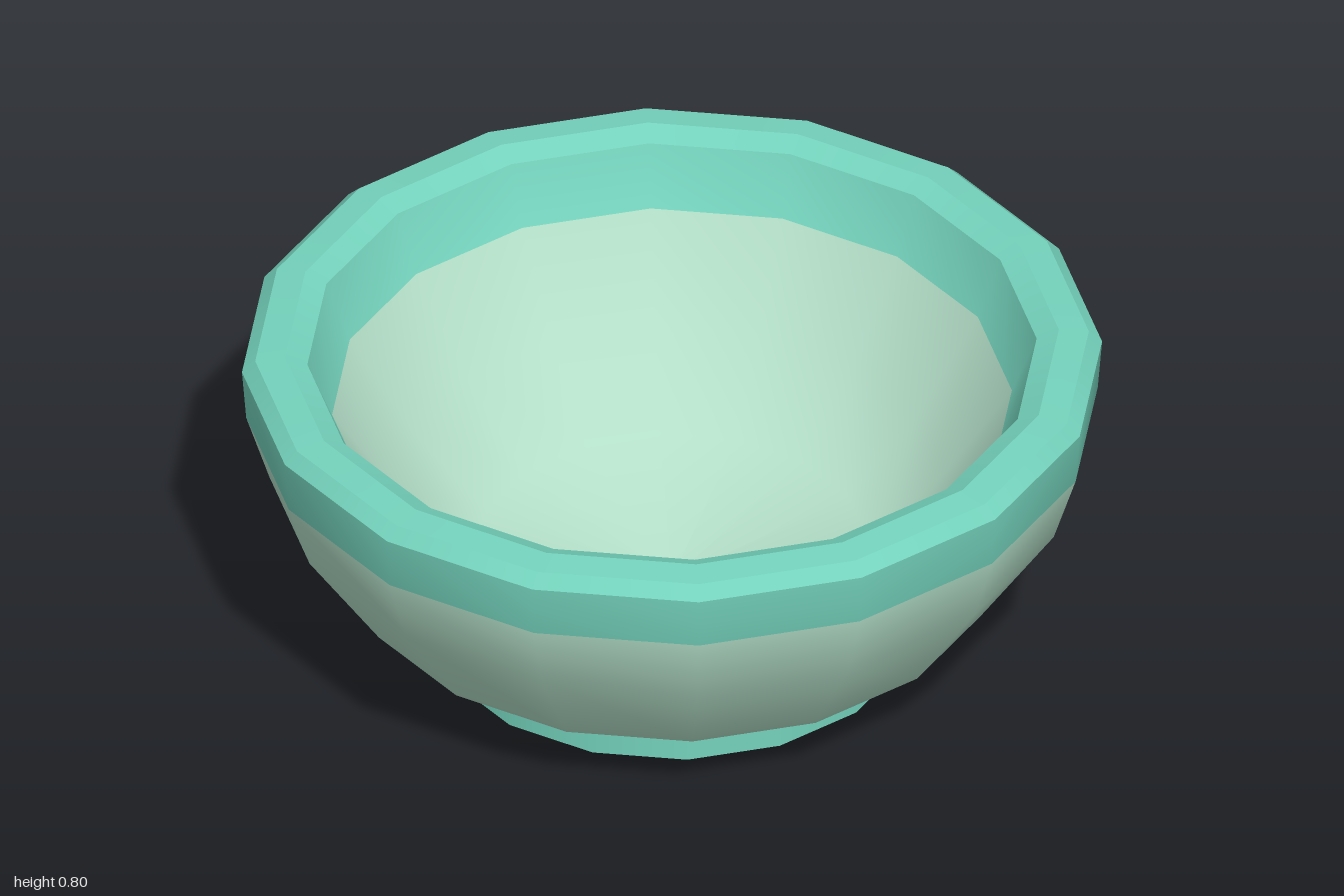
import * as THREE from 'three';

const SIDES = 16;
const TURN = THREE.MathUtils.degToRad(16.2);

export function createModel() {
  const glaze = new THREE.MeshStandardMaterial({ color: 0x74d2bc });
  glaze.name = 'teal glaze';
  const clay = new THREE.MeshStandardMaterial({ color: 0xb4dfc8 });
  clay.name = 'pale green';

  const bowl = new THREE.Group();
  bowl.name = 'bowl';

  // Smooth surface of revolution; bands gives the material of each profile step
  function turned(name, profile, bands) {
    const points = profile.map(([r, y]) => new THREE.Vector2(r, y));
    const geometry = new THREE.LatheGeometry(points, SIDES, TURN);
    const steps = profile.length - 1;
    const materials = [glaze, clay];
    for (let i = 0; i < SIDES; i++) {
      for (let j = 0; j < steps; j++) {
        geometry.addGroup((i * steps + j) * 6, 6, materials.indexOf(bands[j]));
      }
    }
    const mesh = new THREE.Mesh(geometry, materials);
    mesh.name = name;
    bowl.add(mesh);
  }

  // Foot: slightly domed underside and a short ring
  turned('footBase', [[0, 0], [0.573, 0.012]], [glaze]);
  turned('footRing', [[0.573, 0.012], [0.573, 0.078]], [glaze]);

  // Outer wall with a glazed band at the top
  turned('outerWall',
    [[0.573, 0.078], [0.762, 0.195], [0.942, 0.46], [0.996, 0.63], [1.006, 0.76]],
    [clay, clay, clay, glaze]);

  // Rim: outer bevel, then a softly crowned top falling inward
  turned('rimOuterBevel', [[1.006, 0.76], [0.975, 0.79]], [glaze]);
  turned('rimTop', [[0.975, 0.79], [0.905, 0.798]], [glaze]);
  turned('rimInnerBevel', [[0.905, 0.798], [0.853, 0.775]], [glaze]);

  // Inner wall, glazed band first, then the sloping hollow down to the centre
  turned('innerWall',
    [[0.853, 0.775], [0.795, 0.63], [0.64, 0.405], [0.46, 0.22], [0, 0.13]],
    [glaze, clay, clay, clay]);

  return bowl;
}
